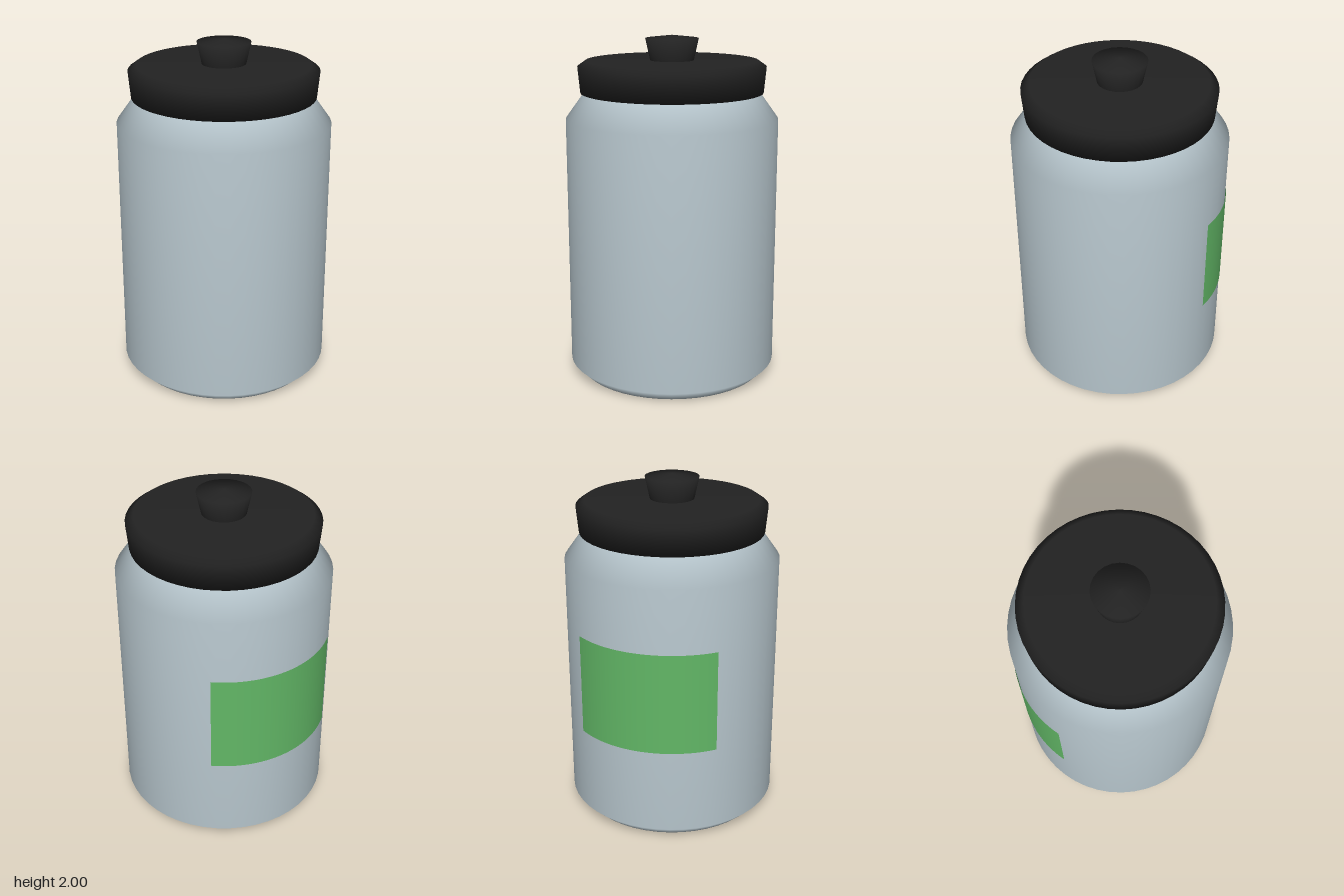
import * as THREE from 'three';

export function createModel() {
  const model = new THREE.Group();
  const glass = new THREE.MeshStandardMaterial({ name: 'greyBlue', color: 0xb8c7ce });
  const black = new THREE.MeshStandardMaterial({ name: 'black', color: 0x222222 });
  const green = new THREE.MeshStandardMaterial({ name: 'green', color: 0x62b766, side: THREE.DoubleSide });

  // Turned part from a bottom-to-top profile of [radius, height]
  const turn = (name, profile, material, segments) => {
    const points = profile.map(([r, y]) => new THREE.Vector2(r, y));
    const mesh = new THREE.Mesh(new THREE.LatheGeometry(points, segments), material);
    mesh.name = name;
    model.add(mesh);
    return mesh;
  };

  // Jar body with bevelled foot, sloping shoulder and a neck inside the lid
  turn('jarBody', [[0, 0], [0.555, 0], [0.617, 0.06], [0.617, 1.525], [0.505, 1.68], [0.505, 1.72]], glass, 48);

  // Lid, flaring slightly towards its bevelled rim
  turn('lid', [[0, 1.675], [0.53, 1.675], [0.544, 1.825], [0.498, 1.857], [0, 1.857]], black, 48);

  // Knob with a shallow cone on top
  turn('knob', [[0.125, 1.85], [0.154, 1.982], [0, 2]], black, 24);

  // Curved label wrapped round the back
  const half = THREE.MathUtils.degToRad(40);
  const label = new THREE.Mesh(
    new THREE.CylinderGeometry(0.621, 0.621, 0.595, 24, 1, true, Math.PI - half, 2 * half), green);
  label.name = 'backLabel';
  label.position.y = 0.858;
  model.add(label);

  return model;
}
